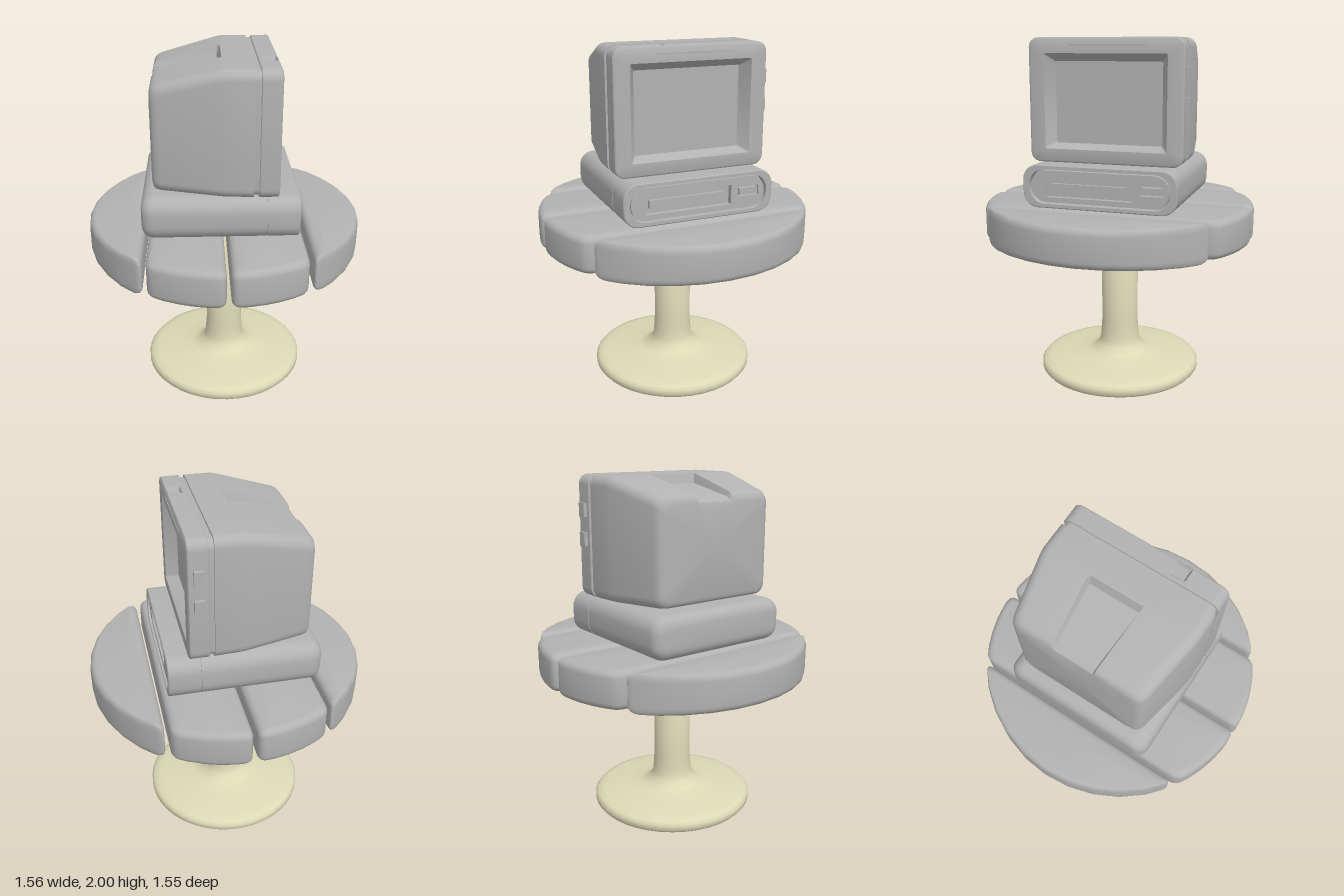
import * as THREE from 'three';
import { toCreasedNormals } from 'three/addons/utils/BufferGeometryUtils.js';

const V = (x, y, z) => new THREE.Vector3(x, y, z);

// Skin a list of equal-length rings (counter-clockwise about the loft direction), closing both ends
function loft(rings, crease = 0.55) {
  const pos = [];
  const tri = (...p) => p.forEach(v => pos.push(v.x, v.y, v.z));
  const mid = r => r.reduce((s, p) => s.add(p), V(0, 0, 0)).divideScalar(r.length);
  const n = rings[0].length, last = rings[rings.length - 1];
  const c0 = mid(rings[0]), c1 = mid(last);
  for (let i = 0; i < n; i++) {
    const j = (i + 1) % n;
    for (let k = 0; k < rings.length - 1; k++) {
      const a = rings[k], b = rings[k + 1];
      tri(a[i], a[j], b[j]);
      tri(a[i], b[j], b[i]);
    }
    tri(c0, rings[0][j], rings[0][i]);
    tri(c1, last[i], last[j]);
  }
  const g = new THREE.BufferGeometry();
  g.setAttribute('position', new THREE.Float32BufferAttribute(pos, 3));
  return toCreasedNormals(g, crease);
}

// Rounded rectangle across x; notch = [zA, zB, depth] sinks part of the top edge
function ring(x, y0, y1, hz, r, notch) {
  const pts = [], seg = 6;
  const corners = [[y1 - r, hz - r], [y0 + r, hz - r], [y0 + r, r - hz], [y1 - r, r - hz]];
  corners.forEach(([cy, cz], q) => {
    for (let i = 0; i <= seg; i++) {
      const t = (q + i / seg) * Math.PI / 2;
      pts.push(V(x, cy + r * Math.cos(t), cz + r * Math.sin(t)));
    }
  });
  if (notch) {
    const [a, b, d] = notch, e = 0.012;
    pts.push(V(x, y1, a), V(x, y1 - d, a + e), V(x, y1 - d, b - e), V(x, y1, b));
  }
  return pts;
}

// Round the sharp corners of a flat outline in x and z
function roundCorners(raw, r) {
  const p = raw.filter((v, i) => v.distanceTo(raw[(i + 1) % raw.length]) > 1e-4);
  const out = [];
  p.forEach((v, i) => {
    const a = p[(i + p.length - 1) % p.length], b = p[(i + 1) % p.length];
    const u = a.clone().sub(v), w = b.clone().sub(v);
    if (Math.PI - u.angleTo(w) < 0.5) { out.push(v); return; }
    const s = v.clone().addScaledVector(u, Math.min(r / u.length(), 0.5));
    const e = v.clone().addScaledVector(w, Math.min(r / w.length(), 0.5));
    out.push(...new THREE.QuadraticBezierCurve3(s, v, e).getPoints(5));
  });
  return out;
}

// One table plank: a strip of the disc between x0 and x1 with soft edges
function plank(x0, x1) {
  const R = 0.78, y0 = 0.866, y1 = 1.08, b = 0.04, steps = 5;
  const a0 = Math.asin(x0 / R), a1 = Math.asin(x1 / R), raw = [];
  const add = a => raw.push(V(R * Math.sin(a), 0, R * Math.cos(a)));
  for (let i = 0; i <= steps; i++) add(a0 + (a1 - a0) * i / steps);
  for (let i = 0; i <= steps; i++) add(Math.PI - a1 + (a1 - a0) * i / steps);
  const line = roundCorners(raw, 0.05);
  const box = new THREE.Box3().setFromPoints(line);
  const c = box.getCenter(V(0, 0, 0)), h = box.getSize(V(0, 0, 0)).multiplyScalar(0.5);
  const level = (y, inset) => line.map(p => V(
    c.x + (p.x - c.x) * (1 - inset / h.x), y, p.z * (1 - inset / h.z)));
  const low = [], high = [];
  for (let k = 0; k <= 5; k++) {
    const t = k / 5 * Math.PI / 2, inset = b * (1 - Math.sin(t)), dy = b * (1 - Math.cos(t));
    low.push(level(y0 + dy, inset));
    high.unshift(level(y1 - dy, inset));
  }
  return loft([...low, ...high]);
}

// Rectangle with optional corner radius, as a Shape or Path
function rect(path, x0, y0, x1, y1, r = 0) {
  if (!r) return path.moveTo(x0, y0).lineTo(x1, y0).lineTo(x1, y1).lineTo(x0, y1).closePath();
  path.moveTo(x0 + r, y0).lineTo(x1 - r, y0).absarc(x1 - r, y0 + r, r, -Math.PI / 2, 0);
  path.lineTo(x1, y1 - r).absarc(x1 - r, y1 - r, r, 0, Math.PI / 2);
  path.lineTo(x0 + r, y1).absarc(x0 + r, y1 - r, r, Math.PI / 2, Math.PI);
  path.lineTo(x0, y0 + r).absarc(x0 + r, y0 + r, r, Math.PI, Math.PI * 1.5);
  return path;
}

export function createModel() {
  const model = new THREE.Group();
  model.name = 'computerOnTable';
  const grey = new THREE.MeshStandardMaterial({ color: 0xb2b2b2 });
  grey.name = 'grey';
  const cream = new THREE.MeshStandardMaterial({ color: 0xdcd9b6 });
  cream.name = 'cream';
  const add = (name, geo, mat = grey, x = 0, y = 0, z = 0) => {
    const m = new THREE.Mesh(geo, mat);
    m.name = name;
    m.position.set(x, y, z);
    model.add(m);
    return m;
  };

  // Pedestal with round foot
  const profile = [[0, 0.005], [0.34, 0.005], [0.42, 0.016], [0.46, 0.032], [0.475, 0.05], [0.475, 0.08],
    [0.46, 0.098], [0.42, 0.108], [0.3, 0.122], [0.2, 0.136], [0.165, 0.148], [0.13, 0.18],
    [0.117, 0.21], [0.113, 0.26], [0.108, 0.33], [0.108, 0.87], [0.1, 0.882], [0, 0.882]];
  const foot = new THREE.LatheGeometry(profile.map(p => new THREE.Vector2(...p)), 40);
  add('pedestal', toCreasedNormals(foot, 0.8), cream);

  // Table top planks
  [[-0.78, -0.447], [-0.425, -0.014], [0.01, 0.42], [0.445, 0.78]]
    .forEach(([a, b], i) => add('tablePlank' + (i + 1), plank(a, b)));

  // Computer case: soft back, seam, recessed front
  const caseRing = (x, i) => ring(x, 1.08 + i, 1.32 - i, 0.438 - i, 0.085 - Math.min(i, 0.07));
  const caseRings = [];
  for (let k = 0; k <= 5; k++) {
    const t = k / 5 * Math.PI / 2;
    caseRings.push(caseRing(-0.455 + 0.065 * (1 - Math.cos(t)), 0.065 * (1 - Math.sin(t))));
  }
  [[0.212, 0], [0.212, 0.007], [0.218, 0.007], [0.218, 0], [0.385, 0], [0.39, 0.005]]
    .forEach(([x, i]) => caseRings.push(caseRing(x, i)));
  const lip = x => ring(x, 1.103, 1.297, 0.402, 0.09);
  caseRings.push(lip(0.39), lip(0.345));
  add('computerCase', loft(caseRings));

  // Case front panel with drive and button openings
  const face = rect(new THREE.Shape(), -0.393, 1.111, 0.393, 1.289, 0.085);
  face.holes.push(rect(new THREE.Path(), -0.31, 1.14, 0.19, 1.25));
  face.holes.push(rect(new THREE.Path(), 0.232, 1.178, 0.358, 1.232));
  const panelGeo = new THREE.ExtrudeGeometry(face, { depth: 0.035, bevelEnabled: false, curveSegments: 6 });
  panelGeo.rotateY(Math.PI / 2);
  add('frontPanel', panelGeo, grey, 0.343);
  add('driveSlot', new THREE.BoxGeometry(0.025, 0.045, 0.435), grey, 0.352, 1.192, 0.068);
  add('powerButton', new THREE.BoxGeometry(0.04, 0.038, 0.11), grey, 0.36, 1.205, -0.295);

  // Monitor housing: tapered back with a hand recess, ending in a seam groove
  const wide = d => [-0.16, 0.14, d], slim = d => [-0.128, 0.112, d];
  add('monitorHousing', loft([
    ring(-0.39, 1.375, 1.865, 0.33, 0.05, slim(0.012)),
    ring(-0.384, 1.356, 1.892, 0.352, 0.055, slim(0.02)),
    ring(-0.37, 1.345, 1.908, 0.368, 0.06, slim(0.025)),
    ring(-0.345, 1.341, 1.92, 0.378, 0.06, [-0.131, 0.115, 0.027]),
    ring(-0.035, 1.327, 1.995, 0.434, 0.055, wide(0.05)),
    ring(-0.018, 1.326, 1.998, 0.436, 0.055, wide(0)),
    ring(0.0, 1.326, 2.0, 0.438, 0.055, wide(0)),
    ring(0.14, 1.32, 2.0, 0.438, 0.055, wide(0)),
    ring(0.14, 1.332, 1.988, 0.426, 0.045, wide(0)),
    ring(0.175, 1.332, 1.988, 0.426, 0.045, wide(0)),
  ]));

  // Monitor bezel: top notch, rounded lip, then the sunken screen
  const notch = d => [0.14, 0.235, d];
  const bezel = (x, i, d = 0) => ring(x, 1.32 + i, 2 - i, 0.438 - i, 0.055 - i, notch(d));
  add('monitorBezel', loft([
    bezel(0.168, 0.004), bezel(0.172, 0), bezel(0.188, 0), bezel(0.198, 0, 0.018),
    bezel(0.26, 0, 0.018), bezel(0.268, 0), bezel(0.272, 0.004), bezel(0.275, 0.01),
    ring(0.275, 1.395, 1.915, 0.348, 0.012, notch(0)),
    ring(0.205, 1.422, 1.873, 0.306, 0.008, notch(0)),
  ]));
  add('bezelStrip', new THREE.BoxGeometry(0.008, 0.01, 0.43), grey, 0.274, 1.958, -0.015);

  // Side buttons
  [1.81, 1.65].forEach((y, i) =>
    add('sideButton' + (i + 1), new THREE.BoxGeometry(0.052, 0.075, 0.04), grey, 0.218, y, -0.438));

  return model;
}
